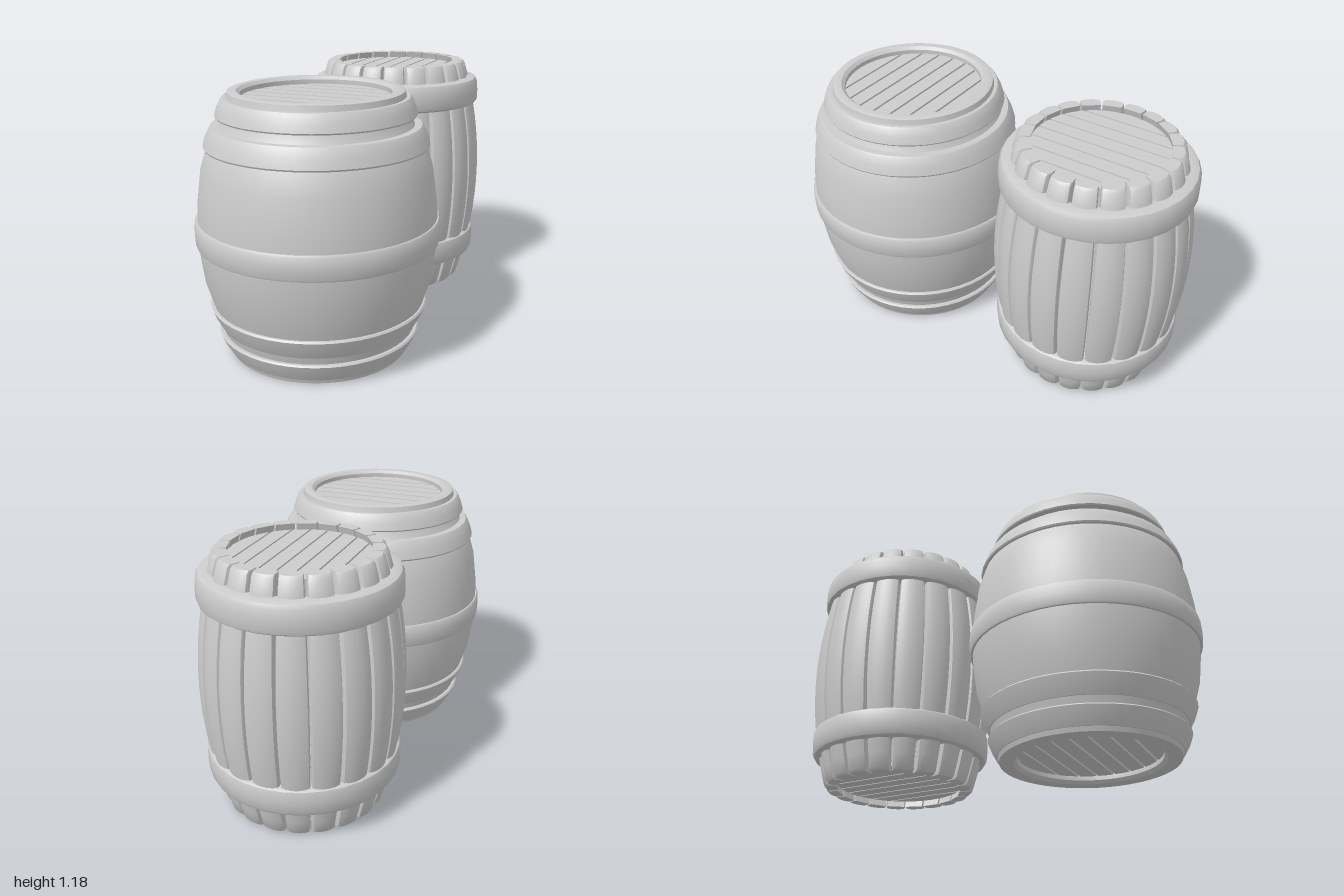
import * as THREE from 'three';
import { toCreasedNormals } from 'three/addons/utils/BufferGeometryUtils.js';

const material = new THREE.MeshStandardMaterial({ color: 0xcccccc, side: THREE.DoubleSide });

function add(parent, name, geometry) {
  const mesh = new THREE.Mesh(geometry, material);
  mesh.name = name;
  parent.add(mesh);
  return mesh;
}

// Closed ring turned from [radius, height] pairs, outer side upwards
function ring(points, segments) {
  const profile = [...points, points[0]].map(([r, y]) => new THREE.Vector2(r, y));
  return toCreasedNormals(new THREE.LatheGeometry(profile, segments), 0.6);
}

// Round head made of parallel planks with open gaps between them
function plankHead(name, radius, count, gap, y, thickness) {
  const head = new THREE.Group();
  head.name = name;
  const step = (2 * radius) / count;
  for (let i = 0; i < count; i++) {
    const x0 = -radius + i * step + (i ? gap / 2 : 0);
    const x1 = -radius + (i + 1) * step - (i < count - 1 ? gap / 2 : 0);
    const upper = [], lower = [], n = 8;
    for (let k = 0; k <= n; k++) {
      const x = x0 + ((x1 - x0) * k) / n;
      const h = Math.sqrt(Math.max(radius * radius - x * x, 1e-6));
      upper.push(new THREE.Vector2(x, h));
      lower.unshift(new THREE.Vector2(x, -h));
    }
    const geometry = new THREE.ExtrudeGeometry(new THREE.Shape([...upper, ...lower]), {
      depth: thickness, bevelEnabled: false });
    geometry.rotateX(-Math.PI / 2).translate(0, y, 0);
    add(head, 'plank', geometry);
  }
  return head;
}

// Large smooth barrel with five flared hoops
function smoothBarrel() {
  const barrel = new THREE.Group();
  barrel.name = 'largeBarrel';
  add(barrel, 'body', ring([
    [0.34, 0], [0.405, 0], [0.425, 0.06], [0.44, 0.12], [0.475, 0.23], [0.508, 0.34], [0.524, 0.46],
    [0.532, 0.57], [0.524, 0.7], [0.505, 0.84], [0.475, 0.94], [0.42, 1.035], [0.4, 1.08],
    [0.38, 1.175], [0.365, 1.18], [0.34, 1.178], [0.325, 1.165], [0.325, 1.1],
    [0.44, 0.9], [0.49, 0.57], [0.42, 0.25], [0.325, 0.08], [0.325, 0.015],
  ], 48));

  // Hoops: bottom and top heights with their radii
  const hoops = [
    [0.02, 0.42, 0.105, 0.455],
    [0.14, 0.455, 0.232, 0.49],
    [0.512, 0.541, 0.622, 0.541],
    [0.94, 0.49, 1.03, 0.46],
    [1.07, 0.435, 1.15, 0.408],
  ];
  for (const [y0, r0, y1, r1] of hoops) {
    const h = y1 - y0, mid = (r0 + r1) / 2;
    const inner = Math.min(r0, r1) - 0.06;
    add(barrel, 'hoop', ring([
      [inner, y0], [r0 - 0.004, y0], [r0, y0 + h * 0.08], [mid + 0.003, y0 + h / 2],
      [r1, y1 - h * 0.08], [r1 - 0.006, y1], [inner, y1],
    ], 48));
  }
  for (const y of [0.035, 1.115]) {
    const head = plankHead(y > 0.5 ? 'topHead' : 'bottomHead', 0.327, 8, 0.01, y, 0.03);
    head.rotation.y = Math.PI / 2;
    barrel.add(head);
  }
  return barrel;
}

// One bowed stave, lofted through cross-sections from bottom to top
function staveGeometry(count) {
  const height = 1.18, rows = 16, half = Math.PI / count;
  const section = [-1, -0.9, -0.6, -0.2, 0.2, 0.6, 0.9, 1];
  const drop = [0.022, 0.009, 0.003, 0, 0, 0.003, 0.009, 0.022];
  const levels = [0, 0.012];
  for (let i = 1; i < rows; i++) levels.push((height * i) / rows);
  levels.push(height - 0.012, height);
  const positions = [], index = [], n = section.length + 2;
  levels.forEach((y, i) => {
    const u = Math.abs(y / height - 0.5) * 2;
    const end = i === 0 || i === levels.length - 1;
    const radius = 0.452 - 0.092 * u * u - (end ? 0.008 : 0);
    const width = half * (0.975 - 0.07 * u * u);
    const point = (r, a) => positions.push(r * Math.sin(a), y, r * Math.cos(a));
    section.forEach((s, j) => point(radius - drop[j], s * width));
    const inner = 0.395 - 0.095 * u * u;
    point(inner, width);
    point(inner, -width);
  });
  for (let i = 0; i < levels.length - 1; i++) {
    for (let j = 0; j < n; j++) {
      const a = i * n + j, b = i * n + ((j + 1) % n);
      index.push(a, b, b + n, a, b + n, a + n);
    }
  }
  const top = (levels.length - 1) * n;
  for (let j = 1; j < n - 1; j++) {
    index.push(0, j + 1, j, top, top + j, top + j + 1);
  }
  const geometry = new THREE.BufferGeometry();
  geometry.setAttribute('position', new THREE.Float32BufferAttribute(positions, 3));
  geometry.setIndex(index);
  return toCreasedNormals(geometry, 0.6);
}

// Smaller barrel of separate staves held by two thick padded hoops
function staveBarrel() {
  const barrel = new THREE.Group();
  barrel.name = 'smallBarrel';
  const count = 20, geometry = staveGeometry(count);
  for (let i = 0; i < count; i++) {
    add(barrel, 'stave', geometry).rotation.y = (i * 2 * Math.PI) / count;
  }
  for (const bottom of [true, false]) {
    // Heights are measured from the outer end of the barrel
    const profile = [[0.36, 0.14], [0.405, 0.14], [0.423, 0.147], [0.433, 0.165], [0.437, 0.21],
      [0.437, 0.25], [0.432, 0.267], [0.42, 0.275], [0.36, 0.275]];
    const points = bottom ? profile : profile.map(([r, y]) => [r, 1.24 - y]).reverse();
    add(barrel, bottom ? 'lowerHoop' : 'upperHoop', ring(points, 32));
    barrel.add(plankHead(bottom ? 'bottomHead' : 'topHead', 0.305, 8, 0.008, bottom ? 0.03 : 1.12, 0.03));
  }
  return barrel;
}

export function createModel() {
  const model = new THREE.Group();
  model.name = 'barrels';
  const large = smoothBarrel();
  large.position.z = 0.457;
  const small = staveBarrel();
  small.position.z = -0.548;
  model.add(large, small);
  return model;
}
